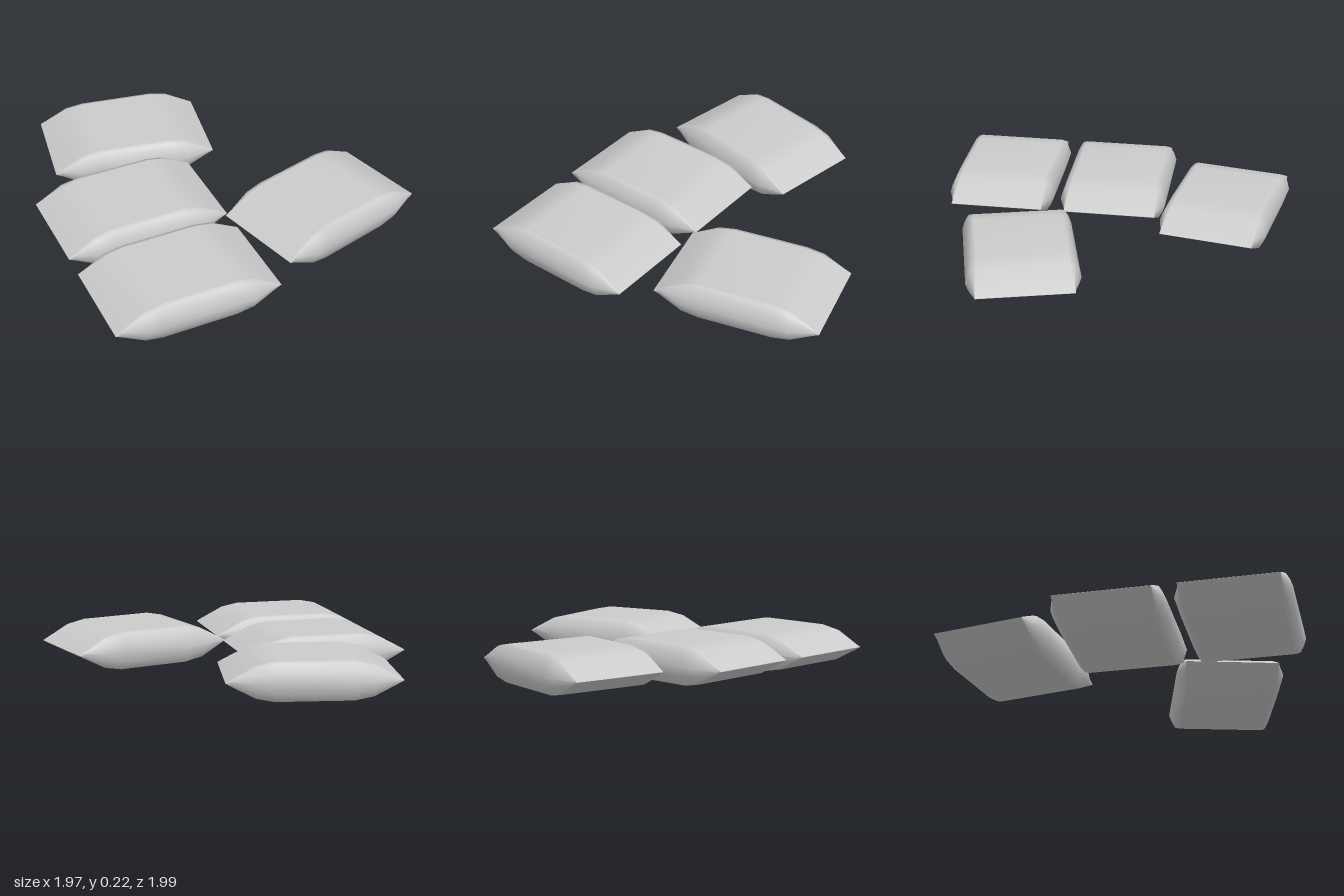
import * as THREE from 'three';
import { mergeGeometries } from 'three/addons/utils/BufferGeometryUtils.js';

// Half section of a pouch from its centre to its tip:
// x, half height, half width at the seam, half width at the end crest
const half = [
  [0.21, 0.108, 0.25, 0.31],
  [0.31, 0.088, 0.252, 0.31],
  [0.435, 0.021, 0.262, 0.268],
  [0.47, 0.001, 0.265, 0.266],
];
const stations = [...half.map(([x, ...r]) => [-x, ...r]).reverse(), ...half];

// End profile from bottom to top: height factor, bulge factor
const capRows = [[-1, 0], [-0.92, 0.4], [-0.5, 0.75], [0, 1], [0.5, 0.75], [0.92, 0.4], [1, 0]];

// Smooth grid of points; faces look along du x dv
function patch(nu, nv, point) {
  const pos = [], index = [];
  for (let j = 0; j < nv; j++) {
    for (let i = 0; i < nu; i++) {
      pos.push(...point(i, j));
      if (i < nu - 1 && j < nv - 1) {
        const a = j * nu + i, c = a + nu;
        index.push(a, a + 1, c, a + 1, c + 1, c);
      }
    }
  }
  const g = new THREE.BufferGeometry();
  g.setAttribute('position', new THREE.Float32BufferAttribute(pos, 3));
  g.setIndex(index);
  g.computeVertexNormals();
  return g;
}

function pouchGeometry() {
  const n = stations.length, parts = [];
  for (const s of [1, -1]) {
    // Upper (s = 1) and lower (s = -1) panels
    parts.push(patch(n, 2, (i, j) => {
      const [x, h, w] = stations[i];
      return [x, s * h, s * (j ? -w : w)];
    }));
    // Bulging front and back ends
    parts.push(patch(n, capRows.length, (i, j) => {
      const [x, h, w, crest] = stations[i];
      const [fy, fz] = capRows[j];
      return [x, s * fy * h, s * (w + (crest - w) * fz)];
    }));
  }
  return mergeGeometries(parts);
}

export function createModel() {
  const group = new THREE.Group();
  group.name = 'pouches';
  const geometry = pouchGeometry();
  const material = new THREE.MeshStandardMaterial({ color: 0xcccccc, side: THREE.DoubleSide });

  // Name, x, z, turn in degrees
  const layout = [
    ['frontPouch', -0.52, 0.685, 0],
    ['middlePouch', -0.52, 0.02, 0],
    ['sidePouch', 0.46, 0.435, 15],
    ['backPouch', -0.28, -0.64, -10],
  ];
  for (const [name, x, z, turn] of layout) {
    const pouch = new THREE.Mesh(geometry, material);
    pouch.name = name;
    pouch.position.set(x, 0.108, z);
    pouch.rotation.y = THREE.MathUtils.degToRad(turn);
    group.add(pouch);
  }
  return group;
}
